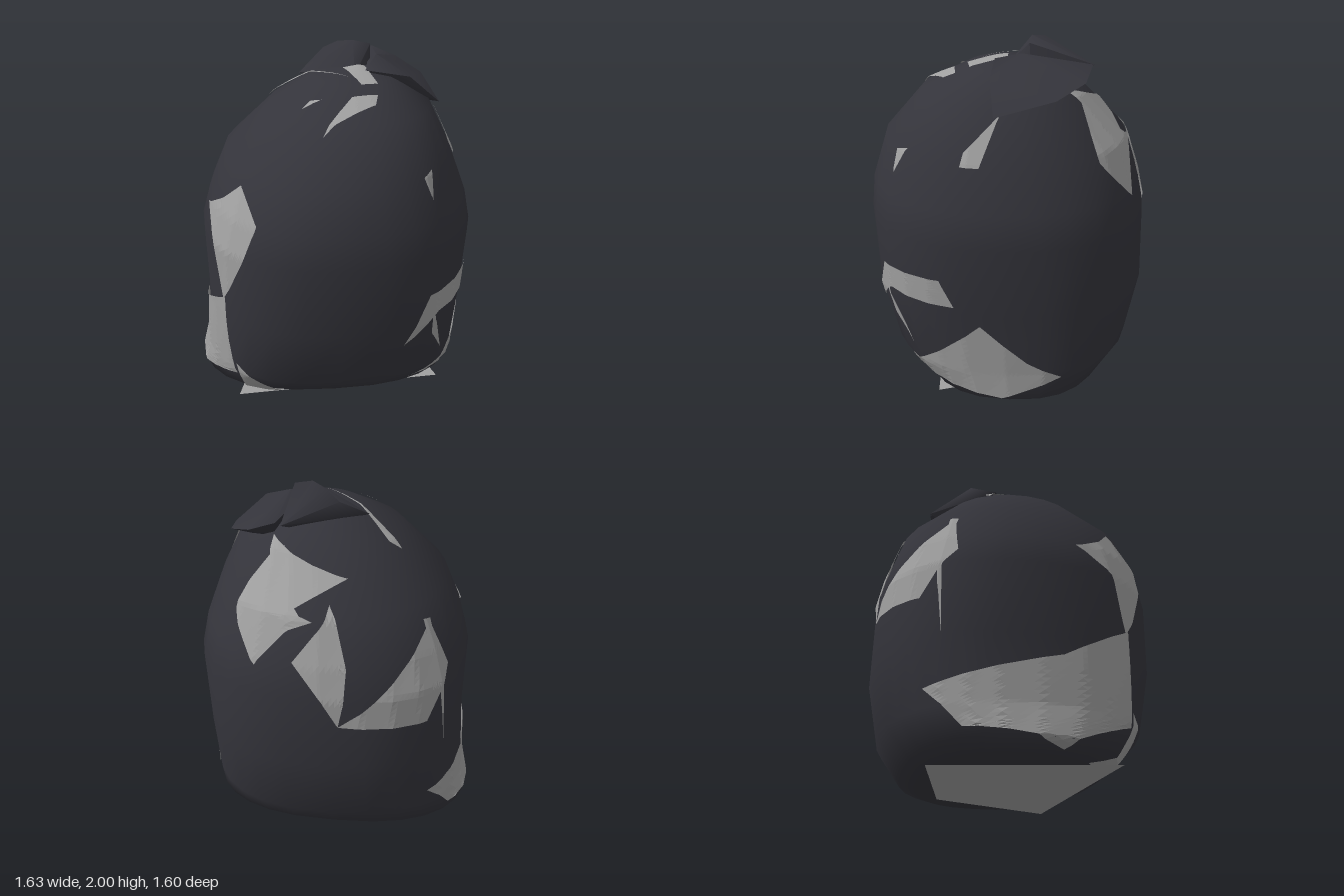
import * as THREE from 'three';
import { toCreasedNormals } from 'three/addons/utils/BufferGeometryUtils.js';
import { ConvexGeometry } from 'three/addons/geometries/ConvexGeometry.js';

const V = (x, y, z) => new THREE.Vector3(x, y, z);

// Bag body: rounded-square rings, one per row [y, xMin, xMax, zMin, zMax]
const RINGS = [
  [0.012, -0.62, 0.66, -0.5, 0.4],
  [0.05, -0.8, 0.77, -0.6, 0.52],
  [0.22, -0.76, 0.77, -0.73, 0.69],
  [0.6, -0.74, 0.79, -0.8, 0.78],
  [1.02, -0.75, 0.825, -0.79, 0.8],
  [1.2, -0.7, 0.79, -0.75, 0.785],
  [1.44, -0.6, 0.7, -0.67, 0.71],
  [1.7, -0.34, 0.57, -0.43, 0.49],
  [1.84, -0.1, 0.36, -0.25, 0.22],
];

function bagGeometry(sides = 28) {
  const pos = [], index = [];
  for (const [y, x0, x1, z0, z1] of RINGS) {
    // squarer below, rounder towards the top
    const power = 2 / (2.5 - 0.4 * THREE.MathUtils.smoothstep(y, 0.6, 1.5));
    const curve = (v) => Math.sign(v) * Math.abs(v) ** power;
    for (let i = 0; i < sides; i++) {
      const t = (i / sides) * Math.PI * 2;
      pos.push(
        (x0 + x1) / 2 + ((x1 - x0) / 2) * curve(Math.cos(t)), y,
        (z0 + z1) / 2 + ((z1 - z0) / 2) * curve(Math.sin(t)));
    }
  }
  const last = RINGS.length - 1, bottom = pos.length / 3, top = bottom + 1;
  pos.push(0, 0.012, -0.05, 0.17, 1.885, 0);
  for (let i = 0; i < sides; i++) {
    const n = (i + 1) % sides;
    for (let j = 0; j < last; j++) {
      const a = j * sides, b = a + sides;
      index.push(a + i, b + i, a + n, a + n, b + i, b + n);
    }
    index.push(bottom, i, n, top, last * sides + n, last * sides + i);
  }
  const g = new THREE.BufferGeometry();
  g.setAttribute('position', new THREE.Float32BufferAttribute(pos, 3));
  g.setIndex(index);
  g.computeVertexNormals();
  return g;
}

// Split every triangle into four
function subdivide(tris) {
  const mid = (p, q) => p.clone().add(q).multiplyScalar(0.5);
  return tris.flatMap(([a, b, c]) => {
    const ab = mid(a, b), bc = mid(b, c), ca = mid(c, a);
    return [[a, ab, ca], [ab, b, bc], [ca, bc, c], [ab, bc, ca]];
  });
}

// Lay an outline onto the bag, facing an azimuth in degrees or 'top' (x, z plan)
function scrapGeometry(bag, facing, outline) {
  const corners = [];
  for (let i = 0; i < outline.length; i += 2) {
    corners.push(new THREE.Vector2(outline[i], outline[i + 1]));
  }
  let tris = THREE.ShapeUtils.triangulateShape(corners, []).map((t) => t.map((i) => corners[i]));
  for (let k = 0; k < 4; k++) tris = subdivide(tris);
  const fromTop = facing === 'top';
  const a = fromTop ? 0 : THREE.MathUtils.degToRad(facing);
  const toward = fromTop ? V(0, 1, 0) : V(Math.sin(a), 0, Math.cos(a));
  const ray = new THREE.Raycaster();
  const project = (p) => {
    const o = fromTop ? V(p.x, 0, p.y) : V(p.x * Math.cos(a), p.y, -p.x * Math.sin(a));
    ray.set(o.addScaledVector(toward, 4), toward.clone().negate());
    const hit = ray.intersectObject(bag)[0];
    return hit && hit.point.addScaledVector(hit.face.normal, 0.01);
  };
  const points = tris.map((t) => t.map(project)).filter((t) => t.every(Boolean)).flat();
  const g = new THREE.BufferGeometry().setFromPoints(points);
  g.computeVertexNormals();
  return g;
}

// Scraps on each side of the bag: outlines as across, up pairs
const SCRAPS = [
  { name: 'frontScrap', facing: 0, outlines: [
    [-0.69, 1.18, -0.5, 1.38, -0.43, 1.22, -0.63, 0.7],
    [0.36, 0.48, 0.5, 0.78, 0.76, 0.81, 0.77, 0.65, 0.56, 0.65],
    [0.52, 0.72, 0.61, 0.32, 0.53, 0.5],
    [-0.58, 0.28, -0.28, 0.02, -0.53, 0.02],
    [0.45, 1.44, 0.5, 1.32, 0.5, 1.46]] },
  { name: 'leftSideScrap', facing: 90, outlines: [
    [-0.56, 0.15, -0.12, 0.54, 0.14, 0.3, 0.33, 0.19, 0, 0.06],
    [0.38, 1.72, 0.67, 1.43, 0.69, 1.17, 0.5, 1.4],
    [-0.02, 1.68, -0.2, 1.5, -0.22, 1.43, -0.12, 1.43]] },
  { name: 'rightSideScrap', facing: 270, outlines: [
    [-0.58, 0.32, 0.1, 0.5, 0.5, 0.72, 0.5, 0.2, 0.1, 0.03, -0.4, 0.1]] },
  { name: 'backRightScrap', facing: 215, outlines: [
    [-0.4, 0.87, 0.17, 1.35, 0.26, 1.1, 0.08, 0.83],
    [-0.57, 1.22, -0.35, 1.5, -0.34, 1.2, -0.4, 0.87],
    [0.13, 1.37, 0.18, 1.36, 0.22, 0.6]] },
  { name: 'backLeftScrap', facing: 145, outlines: [
    [-0.1, 1.75, 0.35, 1.6, 0.12, 1.4, 0, 1.6]] },
  { name: 'topScrap', facing: 'top', outlines: [
    [0.08, 0, 0.2, 0, 0.25, 0.2, 0.16, 0.22],
    [-0.34, -0.2, -0.27, -0.22, 0.12, 0.15, -0.1, -0.04],
    [-0.07, 0.5, 0.1, 0.3, 0.24, 0.28, 0.22, 0.35],
    [-0.17, 0.3, -0.12, 0.26, -0.06, 0.28]] },
];

// Tied top: a hood and a flap folded over to one side
const HOOD = [[-0.16, 1.82, -0.12], [-0.01, 1.93, -0.25], [0.07, 1.98, -0.2], [0.15, 2, -0.13],
  [0.25, 1.98, -0.12], [0.27, 1.87, -0.47], [0.15, 1.84, 0], [0.25, 1.72, -0.13]];
const FLAP = [[0.28, 1.93, -0.08], [0.2, 1.88, 0.07], [0.45, 1.84, 0.08], [0.63, 1.68, 0.05],
  [0.58, 1.76, -0.27], [0.45, 1.82, -0.42], [0.3, 1.88, -0.46], [0.37, 1.67, -0.15]];

export function createModel() {
  const model = new THREE.Group();
  model.name = 'filledSack';
  const plastic = new THREE.MeshStandardMaterial({ color: 0x34343b });
  plastic.name = 'darkPlastic';
  const paper = new THREE.MeshStandardMaterial({ color: 0xa0a0a0, side: THREE.DoubleSide });
  paper.name = 'greyScrap';
  const add = (name, geometry, material) => {
    const mesh = new THREE.Mesh(geometry, material);
    mesh.name = name;
    model.add(mesh);
    return mesh;
  };

  const bag = add('bagBody', bagGeometry(), plastic);
  const fold = (pts) => toCreasedNormals(new ConvexGeometry(pts.map((p) => V(...p))), 1.2);
  add('tiedHood', fold(HOOD), plastic);
  add('tiedFlap', fold(FLAP), plastic);

  for (const { name, facing, outlines } of SCRAPS) {
    for (const outline of outlines) add(name, scrapGeometry(bag, facing, outline), paper);
  }

  // Flat sheet under the bag
  const sheet = new THREE.Shape([
    new THREE.Vector2(0.64, -0.38), new THREE.Vector2(0.41, 0.33),
    new THREE.Vector2(-0.32, 0.52), new THREE.Vector2(-0.58, -0.46)]);
  add('bottomSheet', new THREE.ShapeGeometry(sheet).rotateX(-Math.PI / 2), paper);
  return model;
}
